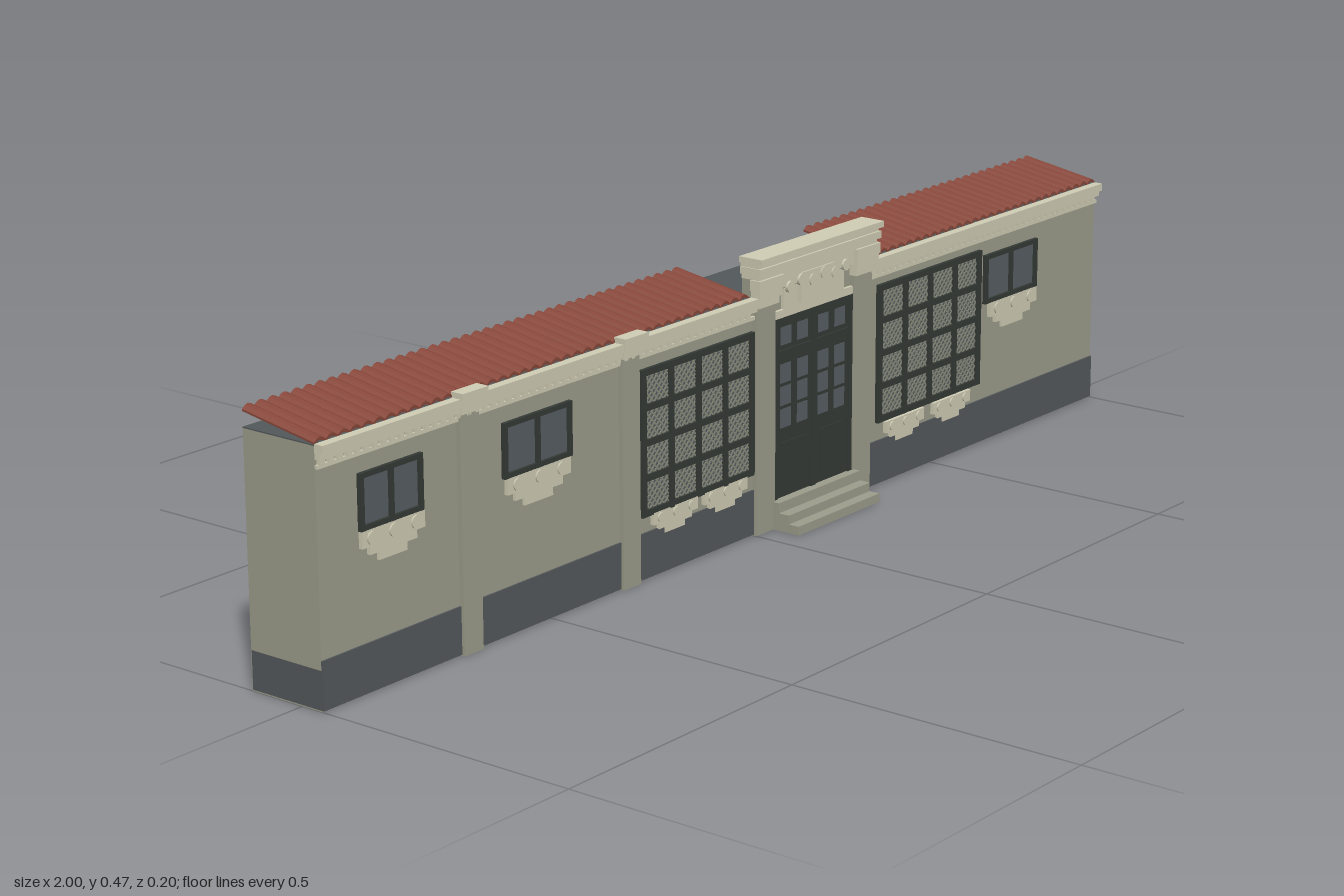
import * as THREE from 'three';
import { mergeGeometries } from 'three/addons/utils/BufferGeometryUtils.js';

const mat = (name, color) => Object.assign(new THREE.MeshStandardMaterial({ color }), { name });

export function createModel() {
  const wall = mat('wall stucco', 0x9c9d8b);
  const cream = mat('cream trim', 0xd0cdb5);
  const slate = mat('dark slate', 0x53585b);
  const tile = mat('roof tile', 0x87473a);
  const frame = mat('dark joinery', 0x343a36);
  const glass = mat('glass', 0x565d62);
  const lattice = mat('lattice', 0x868a79);

  const model = new THREE.Group();
  model.name = 'longHouse';

  // Box given by its limits
  const box = (x0, x1, y0, y1, z0, z1) =>
    new THREE.BoxGeometry(x1 - x0, y1 - y0, z1 - z0)
      .translate((x0 + x1) / 2, (y0 + y1) / 2, (z0 + z1) / 2);
  const add = (name, material, geos, parent = model) => {
    const mesh = new THREE.Mesh(mergeGeometries(geos), material);
    mesh.name = name;
    parent.add(mesh);
  };
  const group = (name) => {
    const g = new THREE.Group();
    g.name = name;
    model.add(g);
    return g;
  };

  // Main body, slate base band and flat deck under the roofs
  add('walls', wall, [
    box(-1, 1, 0.063, 0.398, -0.099, 0.04),
    box(-1, 1, 0, 0.398, -0.1, -0.099),
  ]);
  add('base', slate, [box(-1, 1, 0.002, 0.063, -0.099, 0.04)]);
  add('baseRim', wall, [
    box(-1, 1, 0, 0.002, 0.025, 0.04), box(-1, 1, 0, 0.002, -0.099, -0.085),
    box(-1, -0.985, 0, 0.002, -0.085, 0.025), box(0.985, 1, 0, 0.002, -0.085, 0.025),
  ]);
  add('deck', slate, [box(-1, 1, 0.398, 0.4, -0.1, 0.04)]);
  add('plinth', slate, [
    box(-1, 0, 0.002, 0.078, 0.04, 0.043), box(0.31, 1, 0.002, 0.078, 0.04, 0.043),
  ]);

  // Sloping roofs with a scalloped section
  const roof = (name, x0, x1) => {
    const n = Math.round((x1 - x0) / 0.024);
    const pitch = (x1 - x0) / n;
    const top = [], bottom = [];
    for (let i = 0; i <= n * 4; i++) {
      const x = x0 + (i * pitch) / 4;
      const y = 0.008 * Math.sin((Math.PI * (i % 4)) / 4);
      top.push(new THREE.Vector2(x, 0.403 + y * 0.8));
      bottom.push(new THREE.Vector2(x, 0.4 + y * 0.5));
    }
    const geo = new THREE.ExtrudeGeometry(new THREE.Shape([...bottom, ...top.reverse()]),
      { depth: 0.14, bevelEnabled: false });
    geo.translate(0, 0, -0.1);
    const p = geo.attributes.position;
    for (let i = 0; i < p.count; i++) p.setY(i, p.getY(i) + (0.04 - p.getZ(i)) * 0.165);
    geo.computeVertexNormals();
    add(name, tile, [geo]);
  };
  roof('rightRoof', -1, -0.01);
  roof('leftRoof', 0.32, 1);

  // Cornice with dentils on both wings
  const cornice = [];
  for (const [x0, x1] of [[-1, 0], [0.31, 1]]) {
    cornice.push(box(x0, x1, 0.388, 0.401, 0.04, 0.056));
    cornice.push(box(x0, x1, 0.378, 0.388, 0.04, 0.05));
    cornice.push(box(x0, x1, 0.364, 0.37, 0.04, 0.045));
    for (let x = x0 + 0.004; x < x1 - 0.009; x += 0.018)
      cornice.push(box(x, x + 0.009, 0.37, 0.378, 0.04, 0.048));
  }
  add('cornice', cream, cornice);

  // Wing pilasters with stepped caps
  for (const x of [-0.685, -0.315]) {
    const g = group('pilaster');
    add('shaft', wall, [box(x - 0.021, x + 0.021, 0, 0.38, 0.04, 0.048)], g);
    add('cap', cream, [
      box(x - 0.023, x + 0.023, 0.375, 0.39, 0.04, 0.053),
      box(x - 0.025, x + 0.025, 0.39, 0.4, 0.04, 0.057),
      box(x - 0.028, x + 0.028, 0.4, 0.41, 0.038, 0.061),
    ], g);
  }

  // Entrance surround: pilasters, caps, stepped parapet and carved panel
  const porch = group('entrance');
  add('porchPilasters', wall, [
    box(0, 0.05, 0, 0.405, 0.04, 0.048), box(0.262, 0.312, 0, 0.405, 0.04, 0.048),
    box(-0.002, 0.314, 0.4, 0.43, 0.02, 0.045),
  ], porch);
  const crown = [
    box(-0.01, 0.32, 0.457, 0.467, 0.02, 0.066),
    box(-0.006, 0.316, 0.45, 0.457, 0.02, 0.058),
    box(-0.008, 0.318, 0.438, 0.45, 0.02, 0.062),
    box(-0.004, 0.314, 0.43, 0.438, 0.02, 0.056),
    box(0, 0.31, 0.405, 0.43, 0.04, 0.052),
    box(0.05, 0.262, 0.352, 0.365, 0.04, 0.046),
    box(0.075, 0.237, 0.365, 0.4, 0.04, 0.046),
    box(0.11, 0.2, 0.37, 0.42, 0.046, 0.054),
  ];
  for (const x of [0.025, 0.287]) {
    crown.push(box(x - 0.027, x + 0.027, 0.383, 0.396, 0.04, 0.054));
    crown.push(box(x - 0.03, x + 0.03, 0.396, 0.412, 0.04, 0.058));
    crown.push(box(x - 0.032, x + 0.032, 0.412, 0.43, 0.04, 0.06));
  }
  for (let i = 0; i < 6; i++)
    crown.push(new THREE.CylinderGeometry(0.01, 0.01, 0.006, 10).rotateX(Math.PI / 2)
      .translate(0.081 + i * 0.03, 0.403 + 0.006 * (i % 2), 0.053));
  add('crown', cream, crown, porch);
  add('steps', wall, [
    box(0.045, 0.268, 0, 0.015, 0.04, 0.1), box(0.045, 0.268, 0.015, 0.03, 0.04, 0.08),
    box(0.045, 0.268, 0.03, 0.047, 0.04, 0.06),
  ], porch);

  // Double door with transom lights, tall lights and lower panels
  const door = [box(0.05, 0.262, 0.045, 0.352, 0.04, 0.043),
    box(0.05, 0.06, 0.045, 0.352, 0.043, 0.046), box(0.252, 0.262, 0.045, 0.352, 0.043, 0.046),
    box(0.15, 0.162, 0.045, 0.352, 0.043, 0.046), box(0.06, 0.252, 0.285, 0.297, 0.043, 0.046)];
  const lights = [];
  for (const x of [0.083, 0.128, 0.184, 0.229]) {
    lights.push(box(x - 0.014, x + 0.014, 0.305, 0.335, 0.043, 0.044));
    for (let r = 0; r < 3; r++)
      lights.push(box(x - 0.014, x + 0.014, 0.165 + r * 0.038, 0.197 + r * 0.038, 0.043, 0.044));
  }
  for (const x of [0.105, 0.207]) door.push(box(x - 0.033, x + 0.033, 0.065, 0.14, 0.043, 0.045));
  add('door', frame, door, porch);
  add('doorLights', glass, lights, porch);

  // Window grid: frame bars in front of a glass sheet
  const windowGrid = (g, x0, x1, y0, y1, cols, rows, bar) => {
    const bars = [], w = (x1 - x0 - bar) / cols, h = (y1 - y0 - bar) / rows;
    for (let i = 0; i <= cols; i++) bars.push(box(x0 + i * w, x0 + i * w + bar, y0, y1, 0.04, 0.047));
    for (let j = 0; j <= rows; j++) bars.push(box(x0, x1, y0 + j * h, y0 + j * h + bar, 0.04, 0.0465));
    add('windowFrame', frame, bars, g);
    add('windowGlass', glass, [box(x0 + 0.002, x1 - 0.002, y0 + 0.002, y1 - 0.002, 0.04, 0.042)], g);
    return { w, h };
  };

  // Large windows with crossed lattice strips clipped to every pane
  for (const [x0, x1, y0, y1] of [[-0.287, -0.003, 0.105, 0.345], [0.336, 0.637, 0.11, 0.35]]) {
    const g = group('largeWindow'), bar = 0.011, strips = [];
    const { w, h } = windowGrid(g, x0, x1, y0, y1, 4, 4, bar);
    const pw = w - bar, ph = h - bar;
    for (let i = 0; i < 4; i++) for (let j = 0; j < 4; j++) {
      const cx = x0 + bar + i * w + pw / 2, cy = y0 + bar + j * h + ph / 2;
      for (const s of [-1, 1]) for (let c = -0.042; c < 0.045; c += 0.012) {
        const a = Math.max(-pw / 2, c - ph / 2), b = Math.min(pw / 2, c + ph / 2);
        if (b - a < 0.005) continue;
        const m = (a + b) / 2;
        strips.push(new THREE.BoxGeometry((b - a) * 1.414, 0.003, 0.001)
          .rotateZ((s * Math.PI) / 4).translate(cx + m, cy + s * (m - c), 0.0428));
      }
    }
    add('lattice', lattice, strips, g);
  }

  // Small two-pane windows
  for (const [x0, x1] of [[-0.917, -0.785], [-0.608, -0.453], [0.65, 0.81]])
    windowGrid(group('smallWindow'), x0, x1, 0.25, 0.337, 2, 1, 0.008);

  // Stepped cream brackets under the windows
  const bracket = (cx, half, top, height) => {
    const g = group('sillBracket'), parts = [
      box(cx - half, cx + half, top - height * 0.5, top, 0.04, 0.047),
      box(cx - half * 0.75, cx + half * 0.75, top - height * 0.75, top - height * 0.5, 0.04, 0.046),
      box(cx - half * 0.45, cx + half * 0.45, top - height, top - height * 0.75, 0.04, 0.045),
    ];
    for (const k of [-0.7, 0, 0.7])
      parts.push(new THREE.CylinderGeometry(height * 0.2, height * 0.2, 0.003, 10)
        .rotateX(Math.PI / 2).translate(cx + k * half, top - height * 0.25, 0.048));
    add('bracket', cream, parts, g);
  };
  for (const [cx, half] of [[-0.85, 0.066], [-0.53, 0.072], [0.737, 0.072]]) bracket(cx, half, 0.25, 0.052);
  for (const cx of [-0.205, -0.077, 0.415, 0.553]) bracket(cx, 0.055, 0.107, 0.04);

  return model;
}
